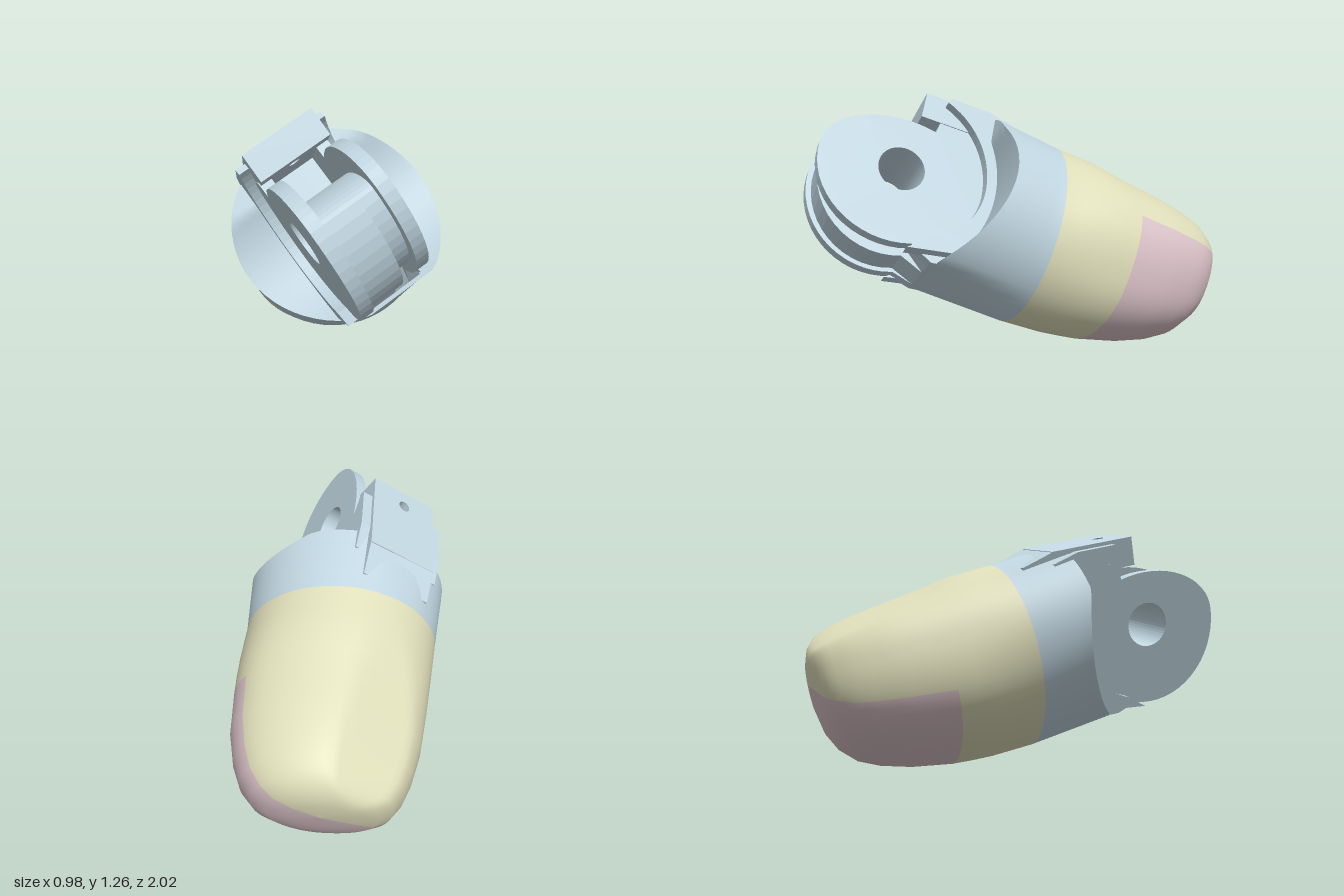
import * as THREE from 'three';

const ROLL = 0.593, PITCH = -0.349;
const HINGE = { w: 0.703, v: 0.033 };
const N = 60;

// Body sections: position along axis, left, right, top, bottom, flat limit of the nail side
const SECTIONS = [
  [0.35, -0.49, 0.49, 0.485, -0.42, 0.48],
  [0, -0.455, 0.48, 0.4525, -0.4525, 0.46],
  [-0.2, -0.435, 0.485, 0.443, -0.45, 0.43],
  [-0.37, -0.417, 0.485, 0.415, -0.435, 0.385],
  [-0.58, -0.39, 0.47, 0.39, -0.39, 0.345],
  [-0.72, -0.355, 0.435, 0.365, -0.345, 0.315],
  [-0.81, -0.32, 0.395, 0.34, -0.3, 0.29],
  [-0.88, -0.275, 0.335, 0.3, -0.23, 0.26],
  [-0.92, -0.215, 0.265, 0.25, -0.15, 0.23],
  [-0.942, -0.12, 0.17, 0.185, -0.03, 0.18],
  [-0.95, 0.03, 0.03, 0.09, 0.09, 0.12],
];

// Point on the body outline, in the rolled frame of the finger
function outline(w, j) {
  let i = 0;
  while (i < SECTIONS.length - 2 && w < SECTIONS[i + 1][0]) i++;
  const A = SECTIONS[i], B = SECTIONS[i + 1];
  const t = THREE.MathUtils.clamp((A[0] - w) / (A[0] - B[0]), 0, 1);
  const [, l, r, top, bot, flat] = A.map((a, k) => a + (B[k] - a) * t);
  const theta = (j / N) * Math.PI * 2, a = theta + ROLL;
  // Squarer shoulders at the sides of the nail
  const e = 1 - 0.16 * Math.cos(theta) ** 2 * THREE.MathUtils.clamp(-w / 0.3, 0, 1);
  const bulge = (n) => Math.sign(n) * Math.abs(n) ** e;
  const x = (l + r) / 2 + (r - l) / 2 * bulge(Math.cos(a));
  const y = (top + bot) / 2 + (top - bot) / 2 * bulge(Math.sin(a));
  const c = Math.cos(ROLL), s = Math.sin(ROLL);
  return [x * c + y * s, THREE.MathUtils.clamp(y * c - x * s, -0.47 + 0.2 * Math.max(w, 0), flat)];
}

// Front of the body: a rounded hollow around the hinge, cut short at top and bottom
const hollow = (v) => Math.min(v > 0 ? 0.32 : 0.5,
  HINGE.w - 0.45 * Math.sqrt(Math.max(1 - ((v - HINGE.v) / 0.51) ** 2, 0)));

function gridGeometry(rows, pointAt, materialAt) {
  const pos = [], lists = [[], [], []];
  for (let i = 0; i <= rows; i++) for (let j = 0; j < N; j++) pos.push(...pointAt(i, j));
  for (let i = 0; i < rows; i++) for (let j = 0; j < N; j++) {
    const k = (j + 1) % N, a = i * N + j, b = i * N + k, c = a + N, d = b + N;
    lists[materialAt(i, j)].push(c, d, a, d, b, a);
  }
  const g = new THREE.BufferGeometry();
  g.setAttribute('position', new THREE.Float32BufferAttribute(pos, 3));
  g.setIndex(lists.flat());
  let start = 0;
  lists.forEach((list, m) => { g.addGroup(start, list.length, m); start += list.length; });
  g.computeVertexNormals();
  return g;
}

// Arc around the hinge, with separate upper and lower heights
function arc(from, to, a, top, bottom, steps = 32) {
  return Array.from({ length: steps + 1 }, (_, i) => {
    const t = THREE.MathUtils.degToRad(from + (to - from) * i / steps), s = Math.sin(t);
    return new THREE.Vector2(HINGE.w + a * Math.cos(t), HINGE.v + s * (s > 0 ? top : bottom));
  });
}

export function createModel() {
  const model = new THREE.Group();
  const mat = (name, color) => {
    const m = new THREE.MeshStandardMaterial({ color });
    m.name = name;
    return m;
  };
  const blue = mat('pale blue', 0xc0d5e0);
  const cream = mat('cream', 0xdfdeba);
  const pink = mat('dusty pink', 0xdac2c8);

  const finger = new THREE.Group();
  finger.name = 'finger';
  finger.rotation.set(PITCH, 0, ROLL);
  finger.position.set(0, 0.575, -0.055);
  model.add(finger);
  const add = (name, geometry, material) => {
    const m = new THREE.Mesh(geometry, material);
    m.name = name;
    finger.add(m);
    return m;
  };

  // Body: blue collar, cream middle and nail side, pink pad
  const stops = [0, -0.1, -0.2, -0.3, -0.39, -0.48, -0.58, -0.65, -0.72, -0.77, -0.81,
    -0.85, -0.88, -0.9, -0.92, -0.932, -0.942, -0.947, -0.95];
  const collarRows = 4;
  const body = gridGeometry(collarRows + stops.length - 1, (i, j) => {
    if (i >= collarRows) {
      const w = stops[i - collarRows];
      return [...outline(w, j), w];
    }
    const t = 1 - i / collarRows, p = outline(0, j), q = outline(0.35, j);
    return [p[0] + (q[0] - p[0]) * t, p[1] + (q[1] - p[1]) * t, hollow(q[1]) * t];
  }, (i, j) => {
    if (i < collarRows) return 0;
    return i >= collarRows + 4 && (j >= 29 || j < 1) ? 2 : 1;
  });
  add('fingertipBody', body, [blue, cream, pink]);

  // Hollowed front face of the collar
  const face = gridGeometry(20, (i, j) => {
    const q = outline(0.35, j), s = i / 20;
    return [q[0] * s, q[1] * s, hollow(q[1] * s)];
  }, () => 0);
  add('collarHollow', face, [blue, cream, pink]);

  // Slabs across the hinge axis, drawn in the side plane
  function slab(name, u0, u1, points, bore) {
    const shape = new THREE.Shape(points);
    if (bore) {
      const hole = new THREE.Path();
      hole.absarc(HINGE.w, HINGE.v, 0.11, 0, Math.PI * 2, true);
      shape.holes.push(hole);
    }
    const g = new THREE.ExtrudeGeometry(shape, { depth: u1 - u0, bevelEnabled: false, curveSegments: 24 });
    const m = add(name, g, blue);
    m.rotation.y = -Math.PI / 2;
    m.position.x = u1;
  }
  const P = (w, v) => new THREE.Vector2(w, v);
  const knuckle = (a, top, bottom, end, back) => [
    P(0.15, -0.36), P(0.48, -0.38), ...arc(-108, end, a, top, bottom), ...back, P(0.15, 0.42),
  ];
  const discBack = [P(0.57, 0.36), P(0.3, 0.42)];
  const barrelBack = [P(0.36, 0.1), P(0.33, 0.4)];
  slab('rightHingeDisc', -0.195, -0.135, knuckle(0.385, 0.265, 0.4, 108, discBack), true);
  slab('hingeBarrel', -0.135, 0.03, knuckle(0.36, 0.13, 0.38, 140, barrelBack), true);
  slab('cordGroove', 0.03, 0.105, knuckle(0.335, 0.13, 0.32, 140, barrelBack), true);
  slab('leftHingeDisc', 0.105, 0.165, knuckle(0.385, 0.265, 0.37, 108, discBack), true);

  // Stepped rims that wrap the back of each hinge disc
  const rim = [P(0.22, 0.43), P(0.2, -0.3), P(0.61, -0.365),
    ...arc(244, 110, 0.4, 0.43, 0.37, 24), P(0.556, 0.465), P(0.35, 0.465)];
  slab('rightRim', -0.24, -0.18, rim, false);
  slab('leftRim', 0.15, 0.22, rim, false);

  // Stop lug over the hinge, with a pin hole, and the ramp that blends it into the body
  const lugShape = new THREE.Shape([P(-0.19, 0.24), P(0.17, 0.24), P(0.17, 0.67), P(-0.19, 0.67)]);
  const pin = new THREE.Path();
  pin.absarc(-0.01, 0.58, 0.03, 0, Math.PI * 2, true);
  lugShape.holes.push(pin);
  const lug = add('stopLug', new THREE.ExtrudeGeometry(lugShape, { depth: 0.14, bevelEnabled: false }), blue);
  lug.rotation.x = Math.PI / 2;
  lug.position.y = 0.483;
  slab('lugRamp', -0.19, 0.17, [P(0.08, 0.38), P(0.25, 0.35), P(0.25, 0.483), P(0.08, 0.435)], false);

  return model;
}
